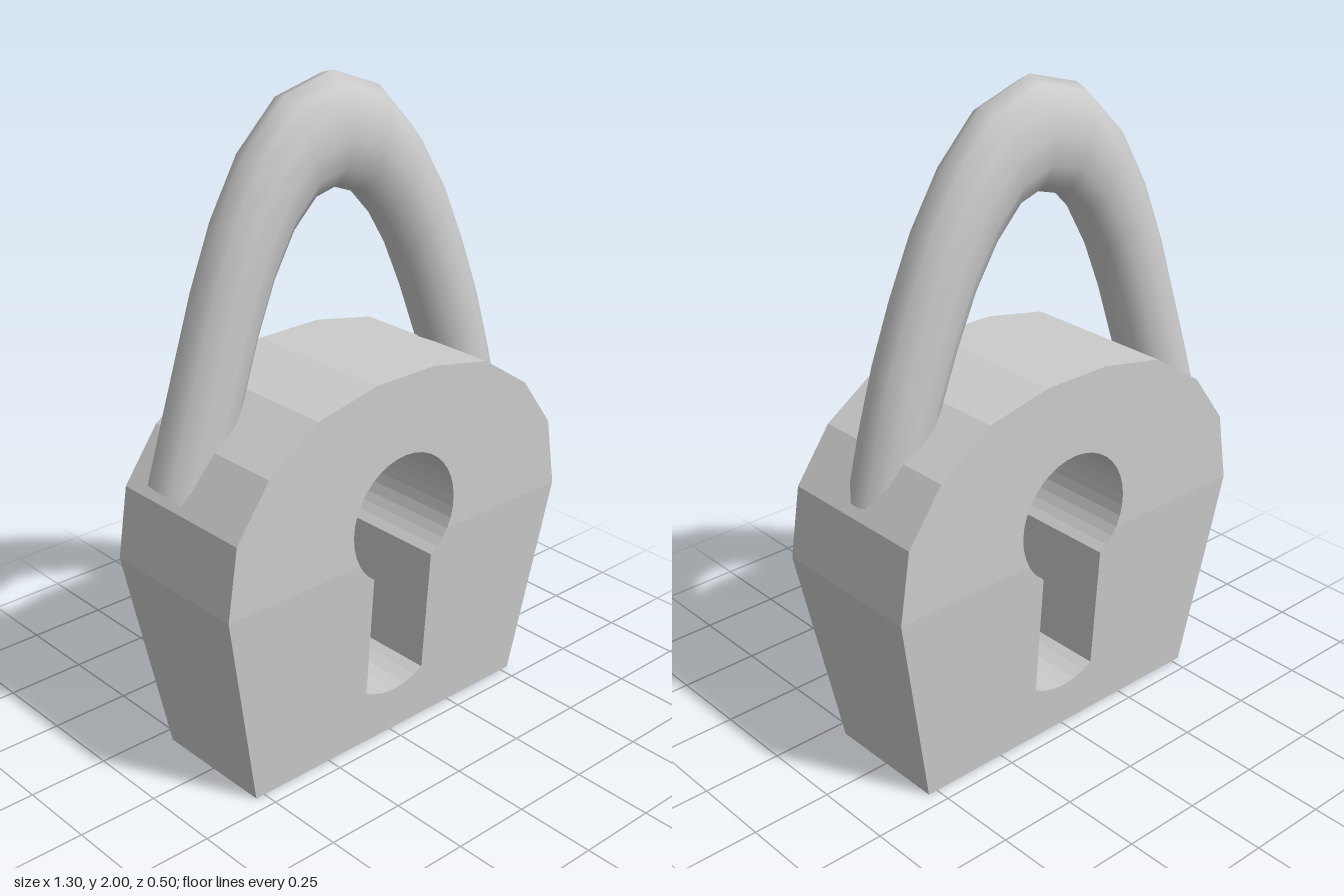
import * as THREE from 'three';
import { mergeGeometries } from 'three/addons/utils/BufferGeometryUtils.js';

const V2 = (x, y) => new THREE.Vector2(x, y);
const SHOULDER = 0.65; // below this height the body gets thinner
const halfDepth = (y) => 0.2 + 0.05 * Math.min(1, y / SHOULDER);

// Points on a circular arc from angle a to angle b
function arc(cx, cy, r, a, b, n) {
  return Array.from({ length: n + 1 }, (_, i) => {
    const t = a + ((b - a) * i) / n;
    return V2(cx + r * Math.cos(t), cy + r * Math.sin(t));
  });
}

// Flat face between two outlines, bent onto the front (side 1) or back (side -1)
function face(points, side) {
  const g = new THREE.ShapeGeometry(new THREE.Shape(points)).toNonIndexed();
  const p = g.attributes.position;
  for (let i = 0; i < p.count; i++) p.setZ(i, side * halfDepth(p.getY(i)));
  if (side < 0) {
    for (let i = 0; i < p.count; i += 3) {
      const b = new THREE.Vector3().fromBufferAttribute(p, i + 1);
      const c = new THREE.Vector3().fromBufferAttribute(p, i + 2);
      p.setXYZ(i + 1, c.x, c.y, c.z);
      p.setXYZ(i + 2, b.x, b.y, b.z);
    }
  }
  g.deleteAttribute('uv');
  g.computeVertexNormals();
  return g;
}

// Wall joining front and back along a closed loop
function wall(loop) {
  const pos = [];
  loop.forEach((a, i) => {
    const b = loop[(i + 1) % loop.length];
    const za = halfDepth(a.y), zb = halfDepth(b.y);
    pos.push(a.x, a.y, -za, b.x, b.y, -zb, b.x, b.y, zb);
    pos.push(a.x, a.y, -za, b.x, b.y, zb, a.x, a.y, za);
  });
  const g = new THREE.BufferGeometry();
  g.setAttribute('position', new THREE.Float32BufferAttribute(pos, 3));
  g.computeVertexNormals();
  return g;
}

function bodyGeometry() {
  // Outer outline, split at the shoulder
  const right = [[0.65, SHOULDER], [0.615, 0.87], [0.5, 1.03], [0.325, 1.147], [0.11, 1.19]];
  const upper = [
    ...right.map(([x, y]) => V2(x, y)),
    ...right.slice().reverse().map(([x, y]) => V2(-x, y)),
  ];
  const base = [V2(-0.53, 0), V2(0.53, 0)];

  // Keyhole: round top, straight slot, curved bottom
  const cx = 0.005, cy = 0.745, r = 0.2, slot = 0.115;
  const a0 = Math.asin((cy - SHOULDER) / r), a1 = Math.acos(slot / r);
  const holeTop = arc(cx, cy, r, Math.PI + a0, -a0, 24);
  const slotEnd = [1, 0.75, 0.4, 0, -0.4, -0.75, -1].map((t) => V2(cx + slot * t, 0.145 + 0.035 * t * t));
  const holeLow = [
    ...arc(cx, cy, r, -a0, -a1, 3),
    ...slotEnd,
    ...arc(cx, cy, r, a1 - Math.PI, a0 - Math.PI, 3),
  ];

  const topFace = [...upper, ...holeTop];
  const lowFace = [upper[upper.length - 1], ...base, upper[0], ...holeLow];
  return mergeGeometries([
    face(topFace, 1), face(topFace, -1), face(lowFace, 1), face(lowFace, -1),
    wall([...upper, ...base]),
    wall([...holeTop.slice(0, -1), ...holeLow.slice(0, -1)]),
  ]);
}

function shackleGeometry() {
  // Round tube drawn short, then stretched upwards; it leans back to one side
  const STRETCH = 1.6, RADIUS = 0.102;
  const path = [
    [-0.54, 0.85], [-0.445, 1.17], [-0.33, 1.52], [-0.215, 1.73], [-0.11, 1.822], [-0.01, 1.84],
    [0.095, 1.8], [0.195, 1.69], [0.29, 1.525], [0.37, 1.325], [0.435, 1.13], [0.505, 0.84],
  ];
  const curve = new THREE.CatmullRomCurve3(
    path.map(([x, y]) => new THREE.Vector3(x, y / STRETCH, -0.04 + 0.085 * x)));
  const parts = [new THREE.TubeGeometry(curve, 14, RADIUS, 12)];
  // End caps
  for (const t of [0, 1]) {
    const dir = curve.getTangent(t).multiplyScalar(t ? 1 : -1);
    const cap = new THREE.CircleGeometry(RADIUS, 12);
    cap.applyQuaternion(new THREE.Quaternion().setFromUnitVectors(new THREE.Vector3(0, 0, 1), dir));
    const p = curve.getPoint(t);
    parts.push(cap.translate(p.x, p.y, p.z));
  }
  return mergeGeometries(parts).scale(1, STRETCH, 1);
}

export function createModel() {
  const model = new THREE.Group();
  model.name = 'padlock';

  const body = new THREE.Mesh(bodyGeometry(), new THREE.MeshStandardMaterial({ color: 0xcccccc, flatShading: true }));
  body.name = 'lockBody';

  const shackle = new THREE.Mesh(shackleGeometry(), new THREE.MeshStandardMaterial({ color: 0xcccccc }));
  shackle.name = 'shackle';

  model.add(body, shackle);
  return model;
}
